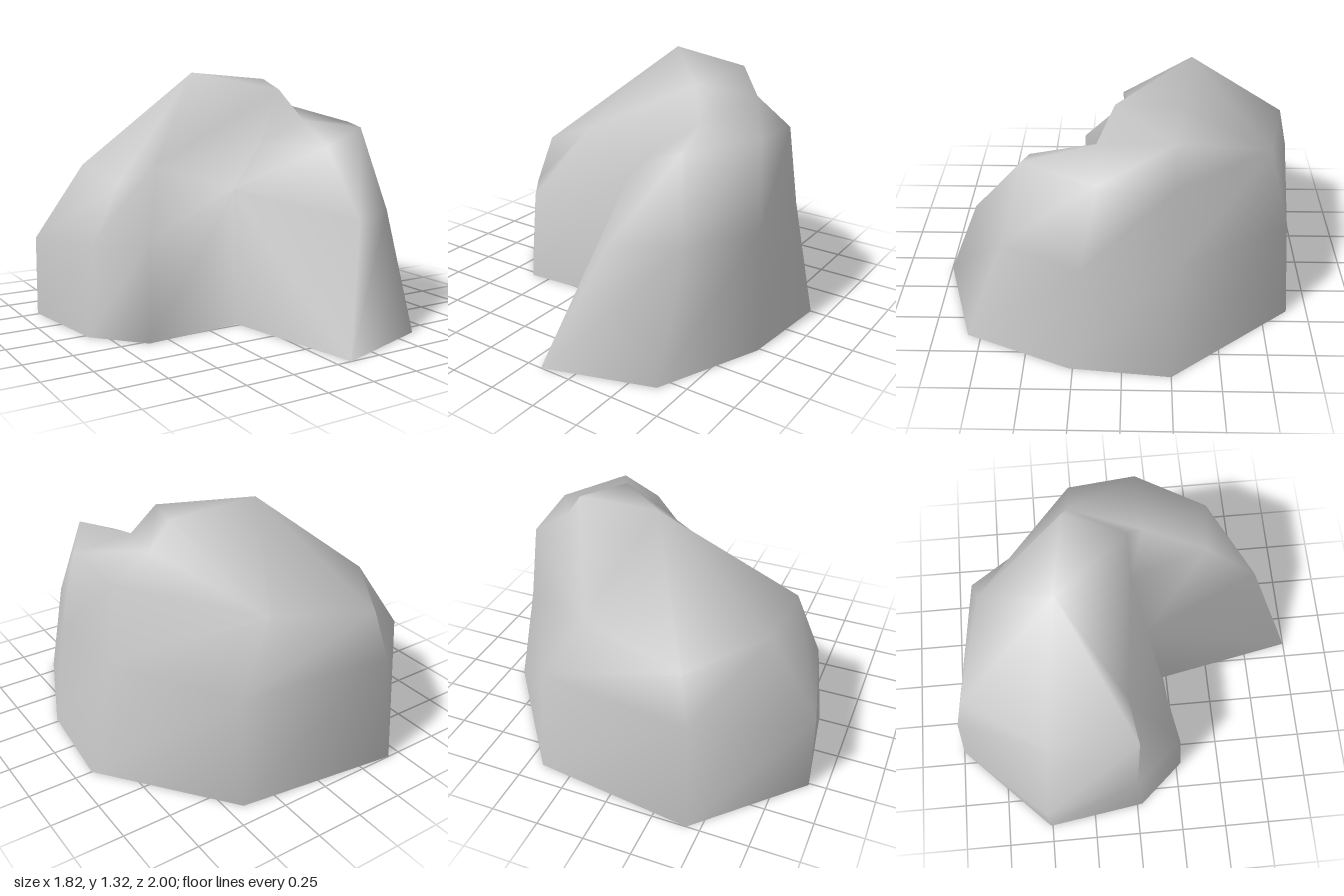
import * as THREE from 'three';

// Smooth boulder with a tall lobe and a lower wing, open underneath
export function createModel() {
  const stone = new THREE.MeshStandardMaterial({ color: 0xc6c6c6, side: THREE.DoubleSide });
  stone.name = 'stone grey';

  // Three rings of ten points, running left-back, back, right, front
  const rings = [
    // ground outline
    [[-0.91, 0, -0.51], [-0.43, 0, -1], [0.42, 0, -0.89], [0.91, 0, -0.25], [0.86, 0, 0.27],
      [0.63, 0, 0.82], [0.08, 0, 1], [-0.07, 0, 0.23], [-0.61, 0, 0.28], [-0.83, 0, 0.03]],
    // waist
    [[-0.91, 0.43, -0.5], [-0.41, 0.57, -0.94], [0.4, 0.57, -0.84], [0.78, 0.6, -0.26], [0.81, 0.6, 0.2],
      [0.63, 0.61, 0.6], [0.31, 0.61, 0.77], [-0.02, 0.71, 0.12], [-0.59, 0.5, 0.25], [-0.79, 0.47, 0]],
    // shoulder
    [[-0.65, 0.82, -0.45], [-0.36, 0.82, -0.88], [0.19, 0.9, -0.76], [0.73, 1.01, -0.24], [0.75, 1.04, 0.12],
      [0.54, 1.04, 0.48], [0.33, 0.95, 0.47], [0.2, 0.95, 0.05], [-0.42, 0.85, -0.02], [-0.65, 0.77, 0.02]],
  ];
  // Crown: peak, back corner, side step, wing top, front corner
  const crown = [[-0.02, 1.32, -0.34], [0.43, 1.28, -0.28], [0.53, 1.14, -0.25], [0.42, 1.065, 0.13], [0.32, 1.23, 0.04]];
  const crownOf = [0, 0, 1, 2, 3, 3, 3, 4, 0, 0];

  const n = 10;
  const at = (row, i) => (row < 3 ? row * n + (i % n) : 3 * n + crownOf[i % n]);
  const index = [];
  const tri = (a, b, c) => {
    if (a !== b && b !== c && a !== c) index.push(a, b, c);
  };

  // Side bands; the listed cells fold along their other diagonal
  const otherFold = new Set([6, 17, 22]);
  for (let row = 0; row < 3; row++) {
    for (let i = 0; i < n; i++) {
      const a = at(row, i), b = at(row, i + 1), c = at(row + 1, i + 1), d = at(row + 1, i);
      if (otherFold.has(row * n + i)) {
        tri(a, d, c);
        tri(a, c, b);
      } else {
        tri(a, d, b);
        tri(b, d, c);
      }
    }
  }
  // Crown faces
  const t = 3 * n;
  tri(t, t + 4, t + 1);
  tri(t + 1, t + 4, t + 2);
  tri(t + 4, t + 3, t + 2);

  const geometry = new THREE.BufferGeometry();
  geometry.setAttribute('position', new THREE.Float32BufferAttribute([...rings.flat(), ...crown].flat(), 3));
  geometry.setIndex(index);
  geometry.computeVertexNormals();

  const boulder = new THREE.Mesh(geometry, stone);
  boulder.name = 'boulder';
  const group = new THREE.Group();
  group.name = 'rock';
  group.add(boulder);
  return group;
}
